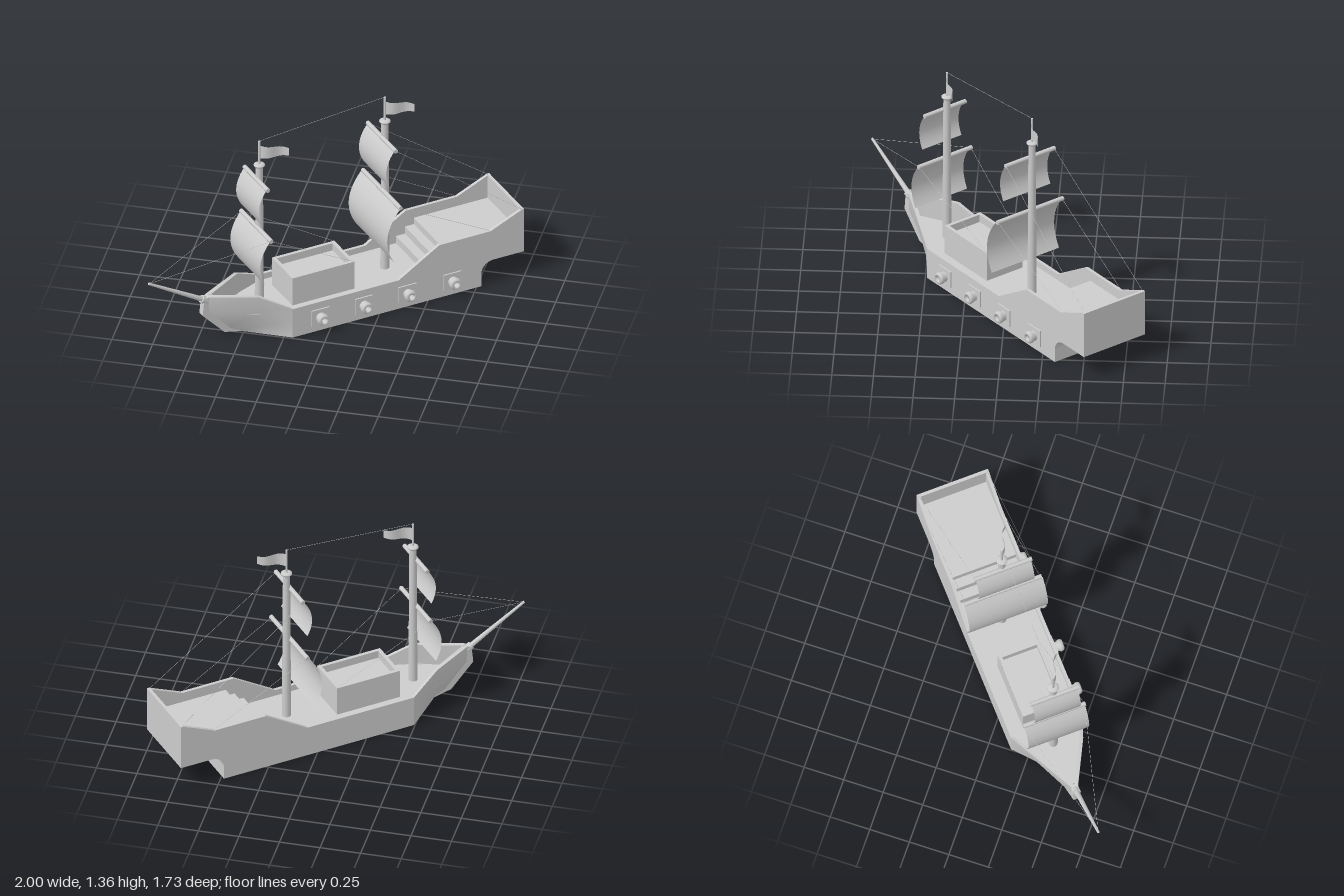
import * as THREE from 'three';
import { toCreasedNormals } from 'three/addons/utils/BufferGeometryUtils.js';

const grey = new THREE.MeshStandardMaterial({ color: 0xcccccc, side: THREE.DoubleSide });
grey.name = 'grey';

const HALF = 0.23, WALL = 0.02, DECK = 0.16, STERN = 1.092;
const V = (x, y, z) => new THREE.Vector3(x, y, z);

function add(parent, name, geometry, x = 0, y = 0, z = 0) {
  const mesh = new THREE.Mesh(geometry, grey);
  mesh.name = name;
  mesh.position.set(x, y, z);
  parent.add(mesh);
  return mesh;
}

// Round bar between two points
function bar(parent, name, a, b, r0, r1 = r0, sides = 12) {
  const d = b.clone().sub(a);
  const mesh = add(parent, name, new THREE.CylinderGeometry(r1, r0, d.length(), sides));
  mesh.position.copy(a).add(b).multiplyScalar(0.5);
  mesh.quaternion.setFromUnitVectors(V(0, 1, 0), d.normalize());
}

const rope = (parent, a, b) => bar(parent, 'rope', a, b, 0.001, 0.001, 5);

// Side profile with a rounded stern cutout; top is listed from stern to bow
function profile(top, depth, z) {
  const s = new THREE.Shape();
  s.moveTo(-0.467, 0);
  s.lineTo(0.804, 0);
  s.lineTo(0.804, 0.085);
  s.absarc(0.884, 0.085, 0.08, Math.PI, Math.PI / 2, true);
  s.lineTo(STERN, 0.165);
  top.forEach(([x, y]) => s.lineTo(x, y));
  s.closePath();
  return new THREE.ExtrudeGeometry(s, { depth, bevelEnabled: false, curveSegments: 10 }).translate(0, 0, z);
}

// One half of the bow: closed cross-sections from shoulder to stem
function bowHalf(side) {
  const section = (inset, x, z, rows) => {
    const [top, ...rest] = rows;
    const zi = Math.max(z - WALL, 0);
    return [
      [x + inset, DECK, 0], [x + inset, DECK, zi], [x + inset, top[1], zi],
      [top[0], top[1], z], ...rest, [rest[2][0], 0, 0],
    ];
  };
  const sections = [
    section(0, -0.467, HALF, [[-0.467, 0.2], [-0.467, 0.13, HALF], [-0.467, 0.06, HALF], [-0.467, 0, HALF]]),
    section(0.01, -0.66, 0.16, [[-0.66, 0.3], [-0.645, 0.19, 0.149], [-0.615, 0.07, 0.129], [-0.6, 0, 0.115]]),
    section(0.025, -0.93, 0.02, [[-0.93, 0.3], [-0.935, 0.19, 0.015], [-0.8, 0.04, 0.012], [-0.72, 0, 0.01]]),
  ];
  const pos = [];
  for (let i = 0; i < 2; i++) {
    for (let j = 0; j < 7; j++) {
      const a = sections[i][j], b = sections[i + 1][j];
      const c = sections[i + 1][j + 1], d = sections[i][j + 1];
      const quad = side > 0 ? [a, b, c, a, c, d] : [a, c, b, a, d, c];
      quad.forEach((p) => pos.push(p[0], p[1], p[2] * side));
    }
  }
  const g = new THREE.BufferGeometry();
  g.setAttribute('position', new THREE.Float32BufferAttribute(pos, 3));
  return toCreasedNormals(g, 0.8);
}

function buildHull(ship) {
  // Solid body with waist deck, stairs and quarterdeck
  const inner = [[STERN, 0.305], [0.575, 0.305], [0.575, 0.26], [0.515, 0.26], [0.515, 0.21], [0.455, 0.21], [0.455, DECK], [-0.467, DECK]];
  add(ship, 'hullAndDecks', profile(inner, 2 * (HALF - WALL), -(HALF - WALL)));
  // Bulwarks
  const rail = [[STERN, 0.463], [1.078, 0.463], [0.866, 0.37], [0.521, 0.37], [0.247, 0.2], [-0.467, 0.2]];
  add(ship, 'leftBulwark', profile(rail, WALL, HALF - WALL));
  add(ship, 'rightBulwark', profile(rail, WALL, -HALF));
  add(ship, 'transom', new THREE.BoxGeometry(WALL, 0.298, 2 * HALF), STERN - WALL / 2, 0.314, 0);
  for (const side of [1, -1]) add(ship, 'bow', bowHalf(side));

  // Stem post and bowsprit
  const stem = new THREE.Shape([
    [-0.915, 0.3], [-0.955, 0.29], [-0.967, 0.18], [-0.82, 0.025], [-0.71, 0], [-0.695, 0.02], [-0.775, 0.05], [-0.915, 0.19],
  ].map((p) => new THREE.Vector2(...p)));
  add(ship, 'stemPost', new THREE.ExtrudeGeometry(stem, { depth: 0.044, bevelEnabled: false }).translate(0, 0, -0.022));
  bar(ship, 'bowsprit', V(-0.92, 0.262, 0), V(-1.319, 0.495, 0), 0.017, 0.008);
  bar(ship, 'bowspritCollar', V(-0.93, 0.268, 0), V(-0.965, 0.288, 0), 0.025);
}

// Deckhouse with a sunken roof
function buildCabin(ship) {
  const L = 0.42, W = 0.268, rim = 0.022, x = -0.21;
  const rect = (Ctor, l, w) => {
    const s = new Ctor();
    s.moveTo(-l / 2, -w / 2);
    s.lineTo(l / 2, -w / 2);
    s.lineTo(l / 2, w / 2);
    s.lineTo(-l / 2, w / 2);
    s.closePath();
    return s;
  };
  const wall = rect(THREE.Shape, L, W);
  wall.holes.push(rect(THREE.Path, L - 2 * rim, W - 2 * rim));
  const g = new THREE.ExtrudeGeometry(wall, { depth: 0.35 - DECK, bevelEnabled: false });
  add(ship, 'cabinWalls', g.rotateX(-Math.PI / 2), x, DECK, 0);
  add(ship, 'cabinRoof', new THREE.BoxGeometry(L - 2 * rim, 0.14, W - 2 * rim), x, DECK + 0.07, 0);
}

// Gun port plate with a hollow barrel
function buildCannon(ship, x) {
  const gun = new THREE.Group();
  gun.name = 'cannon';
  gun.position.set(x, 0.097, HALF);
  add(gun, 'portPlate', new THREE.BoxGeometry(0.118, 0.11, 0.009), 0, 0, 0.0045);
  const pts = [[0.032, 0], [0.032, 0.03], [0.038, 0.034], [0.038, 0.05], [0.031, 0.06], [0.018, 0.06], [0.016, 0.025], [0, 0.025]];
  const curve = pts.map((p) => new THREE.Vector2(...p));
  add(gun, 'barrel', new THREE.LatheGeometry(curve, 12).rotateX(Math.PI / 2));
  ship.add(gun);
}

// Yard with a sail bellying forward
function buildSail(mast, x, yardY, yardLength, sailWidth, bottomY, belly) {
  bar(mast, 'yard', V(x, yardY, -yardLength / 2), V(x, yardY, yardLength / 2), 0.014);
  const h = yardY - bottomY;
  const g = new THREE.PlaneGeometry(sailWidth, h, 1, 14);
  const p = g.attributes.position;
  for (let i = 0; i < p.count; i++) {
    const t = 0.5 - p.getY(i) / h;
    p.setXYZ(i, -belly * (t - 0.87 * t * t) * h, p.getY(i), p.getX(i));
  }
  g.computeVertexNormals();
  add(mast, 'sail', g, x - 0.006, (yardY + bottomY) / 2, 0);
}

// Waving pennant that narrows to its tail
function buildFlag(mast, x, y) {
  const g = new THREE.PlaneGeometry(0.178, 0.09, 12, 1).translate(0.089, 0, 0);
  const p = g.attributes.position;
  for (let i = 0; i < p.count; i++) {
    const s = p.getX(i) / 0.178;
    p.setXYZ(i, p.getX(i), p.getY(i) * (1 - 0.4 * s), 0.013 * Math.sin(s * Math.PI * 2));
  }
  g.computeVertexNormals();
  add(mast, 'flag', g, x, y, 0).rotation.y = -0.487;
}

function buildMast(ship, name, x, topY, poleY, sails) {
  const mast = new THREE.Group();
  mast.name = name;
  bar(mast, 'mastPole', V(x, DECK - 0.02, 0), V(x, topY, 0), 0.028, 0.022, 16);
  const cap = [[0, -0.01], [0.024, -0.01], [0.034, 0], [0.034, 0.007], [0.022, 0.013], [0, 0.013]];
  add(mast, 'mastCap', new THREE.LatheGeometry(cap.map((p) => new THREE.Vector2(...p)), 16), x, topY, 0);
  bar(mast, 'flagPole', V(x, topY, 0), V(x, poleY, 0), 0.007);
  buildFlag(mast, x, poleY - 0.075);
  sails.forEach((s) => buildSail(mast, x - 0.02, ...s));
  ship.add(mast);
}

export function createModel() {
  const model = new THREE.Group();
  model.name = 'sailingShip';
  const ship = new THREE.Group();
  ship.name = 'ship';
  ship.rotation.y = THREE.MathUtils.degToRad(40);
  ship.position.set(0.012, 0, 0.013);
  model.add(ship);

  buildHull(ship);
  buildCabin(ship);
  [-0.283, 0.01, 0.305, 0.607].forEach((x) => buildCannon(ship, x));

  const fore = -0.574, main = 0.272;
  buildMast(ship, 'foreMast', fore, 1.12, 1.29, [[0.695, 0.4, 0.39, 0.395, 0.8], [1.03, 0.31, 0.295, 0.785, 0.77]]);
  buildMast(ship, 'mainMast', main, 1.188, 1.36, [[0.715, 0.495, 0.505, 0.35, 0.84], [1.083, 0.37, 0.355, 0.825, 0.77]]);

  // Rigging
  rope(ship, V(fore, 1.29, 0), V(main, 1.36, 0));
  for (const s of [1, -1]) {
    const foreYard = V(fore - 0.02, 0.695, 0.195 * s);
    rope(ship, V(-1.315, 0.493, 0), foreYard);
    rope(ship, foreYard, V(-0.004, 0.35, 0.13 * s));
    rope(ship, V(main - 0.02, 0.715, 0.24 * s), V(0.866, 0.37, 0.22 * s));
    rope(ship, V(main - 0.02, 1.083, 0.18 * s), V(1.08, 0.463, 0.22 * s));
  }
  return model;
}
